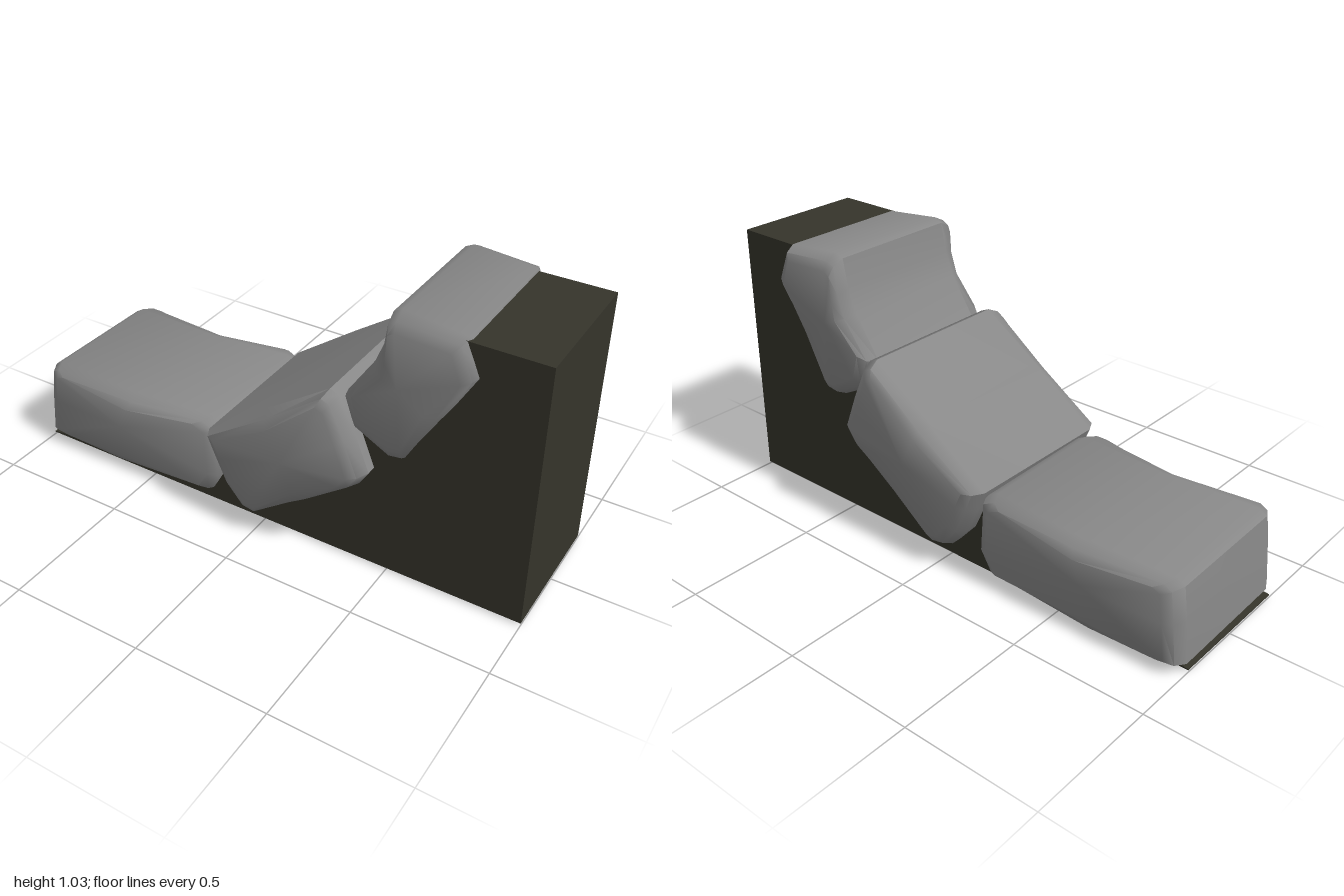
import * as THREE from 'three';
import { toCreasedNormals } from 'three/addons/utils/BufferGeometryUtils.js';

const mat = (name, color) => new THREE.MeshStandardMaterial({ name, color });

// Chamfered boulder: an outline (clockwise in x, y) lofted along z.
function stoneGeometry(outline, zBack, zFront) {
  const n = outline.length;
  const cx = outline.reduce((s, p) => s + p[0], 0) / n;
  const cy = outline.reduce((s, p) => s + p[1], 0) / n;
  const rings = [
    [zBack, 0.055], [zBack + 0.018, 0.022], [zBack + 0.06, 0],
    [zFront - 0.06, 0], [zFront - 0.018, 0.022], [zFront, 0.055],
  ];
  const pos = [], index = [];
  for (const [z, inset] of rings) {
    for (const [x, y] of outline) {
      const k = 1 - inset / Math.hypot(x - cx, y - cy);
      pos.push(cx + (x - cx) * k, cy + (y - cy) * k, z);
    }
  }
  const back = pos.length / 3;
  pos.push(cx, cy, zBack, cx, cy, zFront);
  const last = (rings.length - 1) * n;
  for (let i = 0; i < n; i++) {
    const j = (i + 1) % n;
    for (let r = 0; r < last; r += n) {
      index.push(r + i, r + n + i, r + j, r + j, r + n + i, r + n + j);
    }
    index.push(back, i, j, back + 1, last + j, last + i);
  }
  const geo = new THREE.BufferGeometry();
  geo.setAttribute('position', new THREE.Float32BufferAttribute(pos, 3));
  geo.setIndex(index);
  return toCreasedNormals(geo, 0.9);
}

export function createModel() {
  const model = new THREE.Group();
  model.name = 'stoneSteps';
  const earth = mat('dark earth', 0x35342b);
  const stone = mat('grey stone', 0x888888);

  // sloping earth bank
  const bank = new THREE.Shape([
    [-1, 0.01], [1, 0.01], [1, 1], [0.72, 1], [0.55, 0.75], [0.4, 0.58],
    [0.34, 0.56], [0.1, 0.4], [-0.14, 0.29], [-0.2, 0.25], [-0.3, 0.1], [-1, 0.014],
  ].map(([x, y]) => new THREE.Vector2(x, y)));
  const bankGeo = new THREE.ExtrudeGeometry(bank, { depth: 0.51, bevelEnabled: false });
  bankGeo.translate(0, 0, -0.252);
  const base = new THREE.Mesh(bankGeo, earth);
  base.name = 'earthBank';
  model.add(base);

  // three boulders climbing the bank
  const stones = [
    { name: 'lowerStone', z: [-0.315, 0.298], tilt: -0.02, outline: [
      [-0.995, 0.04], [-0.985, 0.2], [-0.97, 0.325], [-0.94, 0.343], [-0.57, 0.333],
      [-0.23, 0.357], [-0.18, 0.33], [-0.165, 0.13], [-0.21, 0.05], [-0.65, 0.007], [-0.93, 0.027]] },
    { name: 'middleStone', z: [-0.355, 0.355], tilt: 0, outline: [
      [-0.2, 0.355], [0.05, 0.535], [0.29, 0.7], [0.325, 0.685], [0.385, 0.56], [0.44, 0.42],
      [0.405, 0.365], [0.2, 0.21], [0, 0.08], [-0.05, 0.09], [-0.12, 0.17], [-0.17, 0.28]] },
    { name: 'upperStone', z: [-0.318, 0.3], tilt: 0, outline: [
      [0.32, 0.67], [0.42, 0.82], [0.455, 0.91], [0.475, 1.015], [0.505, 1.03], [0.735, 1.006],
      [0.785, 0.89], [0.67, 0.69], [0.55, 0.495], [0.5, 0.488], [0.36, 0.56]] },
  ];
  for (const { name, z, tilt, outline } of stones) {
    const mesh = new THREE.Mesh(stoneGeometry(outline, z[0], z[1]), stone);
    mesh.name = name;
    mesh.rotation.x = tilt;
    model.add(mesh);
  }
  return model;
}
